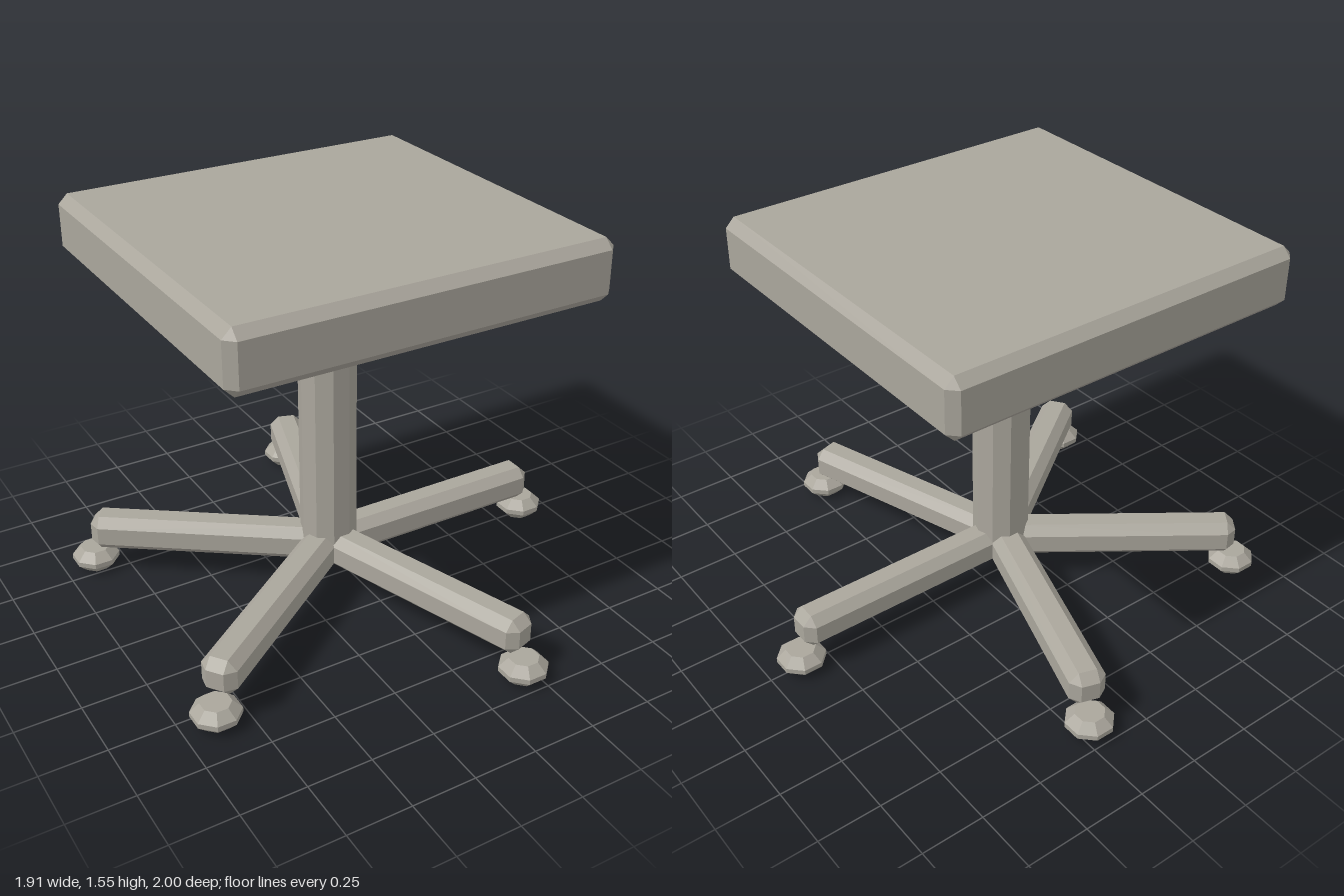
import * as THREE from 'three';
import { ConvexGeometry } from 'three/addons/geometries/ConvexGeometry.js';

const CENTER_X = -0.095; // axis of the column and star base
const CASTER_REACH = 0.958;

// Box with every edge and corner chamfered by c
function chamferBox(w, h, d, c) {
  const half = [w / 2, h / 2, d / 2];
  const points = [];
  for (const sx of [-1, 1]) for (const sy of [-1, 1]) for (const sz of [-1, 1]) {
    for (let axis = 0; axis < 3; axis++) {
      const p = half.map((v, i) => (i === axis ? v : v - c));
      points.push(new THREE.Vector3(p[0] * sx, p[1] * sy, p[2] * sz));
    }
  }
  return new ConvexGeometry(points);
}

// Faceted geometry from a lathe-style profile, closed at both ends
function faceted(profile, sides, phase = 0) {
  const points = profile.map(([r, y]) => new THREE.Vector2(r, y));
  const geometry = new THREE.LatheGeometry(points, sides, phase).toNonIndexed();
  geometry.computeVertexNormals();
  return geometry;
}

export function createModel() {
  const model = new THREE.Group();
  const stone = new THREE.MeshStandardMaterial({ color: 0xaaa69c });
  stone.name = 'warm grey';

  const add = (name, geometry, x, y, z, parent = model) => {
    const mesh = new THREE.Mesh(geometry, stone);
    mesh.name = name;
    mesh.position.set(x, y, z);
    parent.add(mesh);
    return mesh;
  };

  // Seat slab
  add('seat', chamferBox(1.49, 0.235, 1.43, 0.036), -0.093, 1.4375, 0);

  // Ten-sided column, with a corner pointing to +x
  const column = faceted([[0, 0.19], [0.112, 0.19], [0.112, 1.34], [0, 1.34]], 10, Math.PI / 2);
  add('column', column, CENTER_X + 0.003, 0, 0);

  // Five arms and their casters
  const armStart = 0.0, armEnd = 0.957;
  const armGeometry = chamferBox(armEnd - armStart, 0.145, 0.142, 0.036);
  const casterGeometry = faceted(
    [[0, 0], [0.055, 0], [0.0945, 0.038], [0.0945, 0.058], [0.058, 0.093], [0, 0.093]], 8, Math.PI / 8);
  const base = new THREE.Group();
  base.name = 'starBase';
  base.position.x = CENTER_X;
  model.add(base);
  for (let i = 0; i < 5; i++) {
    const a = (i * Math.PI * 2) / 5;
    const mid = (armStart + armEnd) / 2;
    const arm = add('arm' + (i + 1), armGeometry, Math.cos(a) * mid, 0.1825, Math.sin(a) * mid, base);
    arm.rotation.y = -a;
    add('caster' + (i + 1), casterGeometry, Math.cos(a) * CASTER_REACH, 0, Math.sin(a) * CASTER_REACH, base);
  }

  return model;
}
